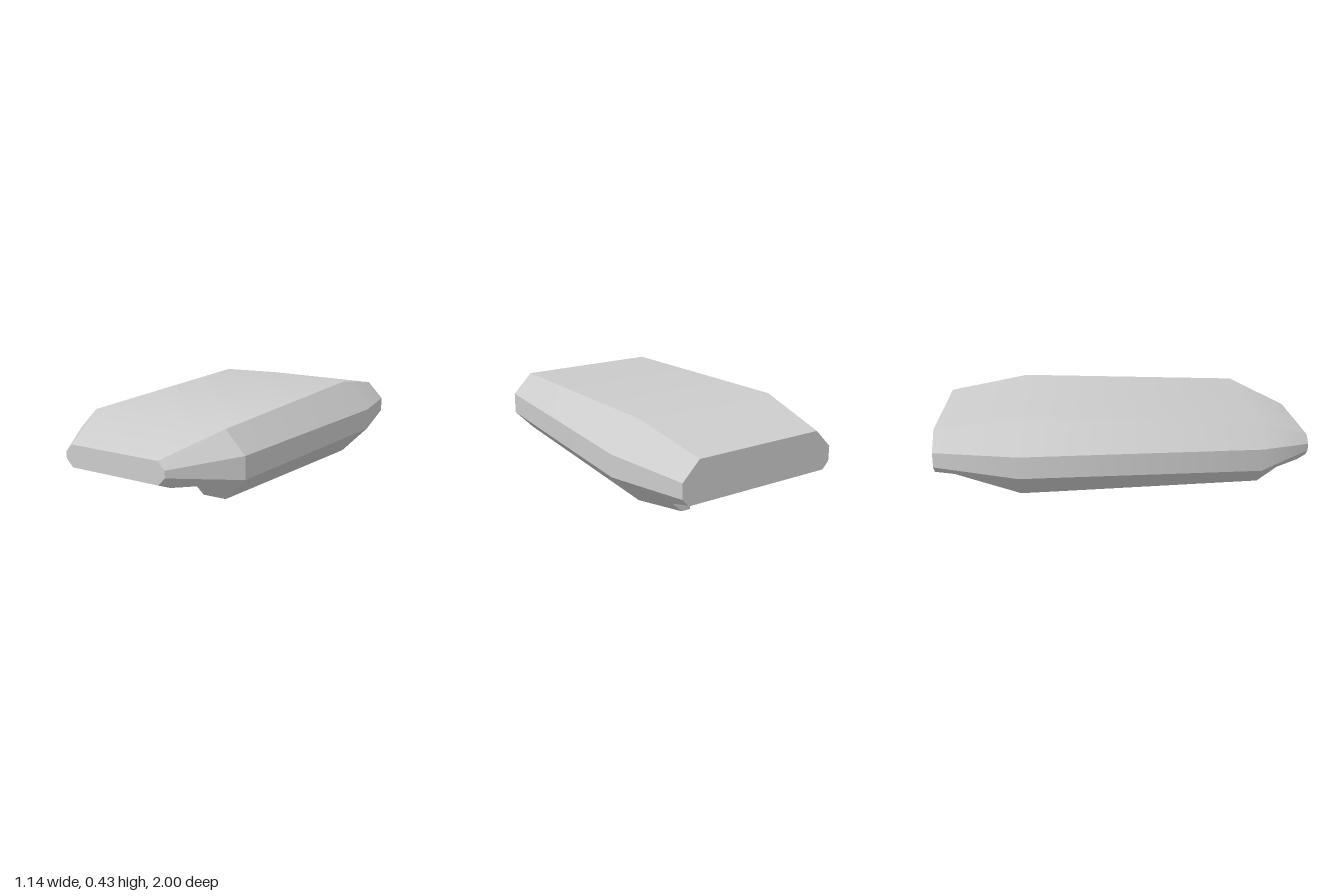
import * as THREE from 'three';
import { ConvexGeometry } from 'three/addons/geometries/ConvexGeometry.js';
import { toCreasedNormals } from 'three/addons/utils/BufferGeometryUtils.js';

// Octagonal stations: z, side x (min, max), deck x (min, max), heights (bottom, side low, side high, top)
const STATIONS = [
  [1.0, -0.36, 0.26, -0.32, 0.22, 0.157, 0.198, 0.235, 0.275],
  [0.71, -0.535, 0.512, -0.42, 0.4, 0.042, 0.157, 0.275, 0.39],
  [-0.55, -0.572, 0.572, -0.42, 0.416, 0.0, 0.157, 0.275, 0.43],
  [-1.0, -0.438, 0.473, -0.343, 0.38, 0.077, 0.177, 0.257, 0.353],
];
const FLOOR = 0.137; // height of the flat underside between the skirts

function stationPoints([z, x0, x1, d0, d1, bottom, low, high, top]) {
  return [
    [d0, bottom], [d1, bottom], [x1, low], [x1, high],
    [d1, top], [d0, top], [x0, high], [x0, low],
  ].map(([x, y]) => new THREE.Vector3(x, y, z));
}

// Corners of the convex hull of a set of points
function hullCorners(points) {
  const pos = new ConvexGeometry(points).attributes.position;
  const unique = new Map();
  for (let i = 0; i < pos.count; i++) {
    const v = new THREE.Vector3().fromBufferAttribute(pos, i);
    unique.set(v.toArray().map((n) => n.toFixed(5)).join(), v);
  }
  return [...unique.values()];
}

// Keep the part of a convex solid where sign * (axis - value) >= 0
function cut(points, axis, sign, value) {
  const dist = (p) => sign * (p[axis] - value);
  const inside = points.filter((p) => dist(p) >= 0);
  const outside = points.filter((p) => dist(p) < 0);
  const kept = [...inside];
  for (const a of inside) {
    for (const b of outside) {
      const t = dist(a) / (dist(a) - dist(b));
      if (t > 1e-6) kept.push(a.clone().lerp(b, t));
    }
  }
  return hullCorners(kept);
}

export function createModel() {
  const group = new THREE.Group();
  group.name = 'hullShell';
  const lightGrey = new THREE.MeshStandardMaterial({ color: 0xcccccc });
  lightGrey.name = 'lightGrey';

  const body = STATIONS.flatMap(stationPoints);

  function addPart(name, cuts) {
    const points = cuts.reduce((p, c) => cut(p, ...c), body);
    const mesh = new THREE.Mesh(toCreasedNormals(new ConvexGeometry(points), 0.53), lightGrey);
    mesh.name = name;
    group.add(mesh);
  }

  // Main faceted shell above the flat underside
  addPart('mainShell', [['y', 1, FLOOR]]);
  // Hanging skirts on both flanks; the left one narrows behind its rear step
  addPart('rightSkirt', [['y', -1, FLOOR], ['x', -1, -0.438]]);
  addPart('leftSkirt', [['y', -1, FLOOR], ['x', 1, 0.34], ['z', 1, -0.88]]);
  addPart('leftSkirtTail', [['y', -1, FLOOR], ['x', 1, 0.44], ['z', -1, -0.88]]);

  return group;
}
